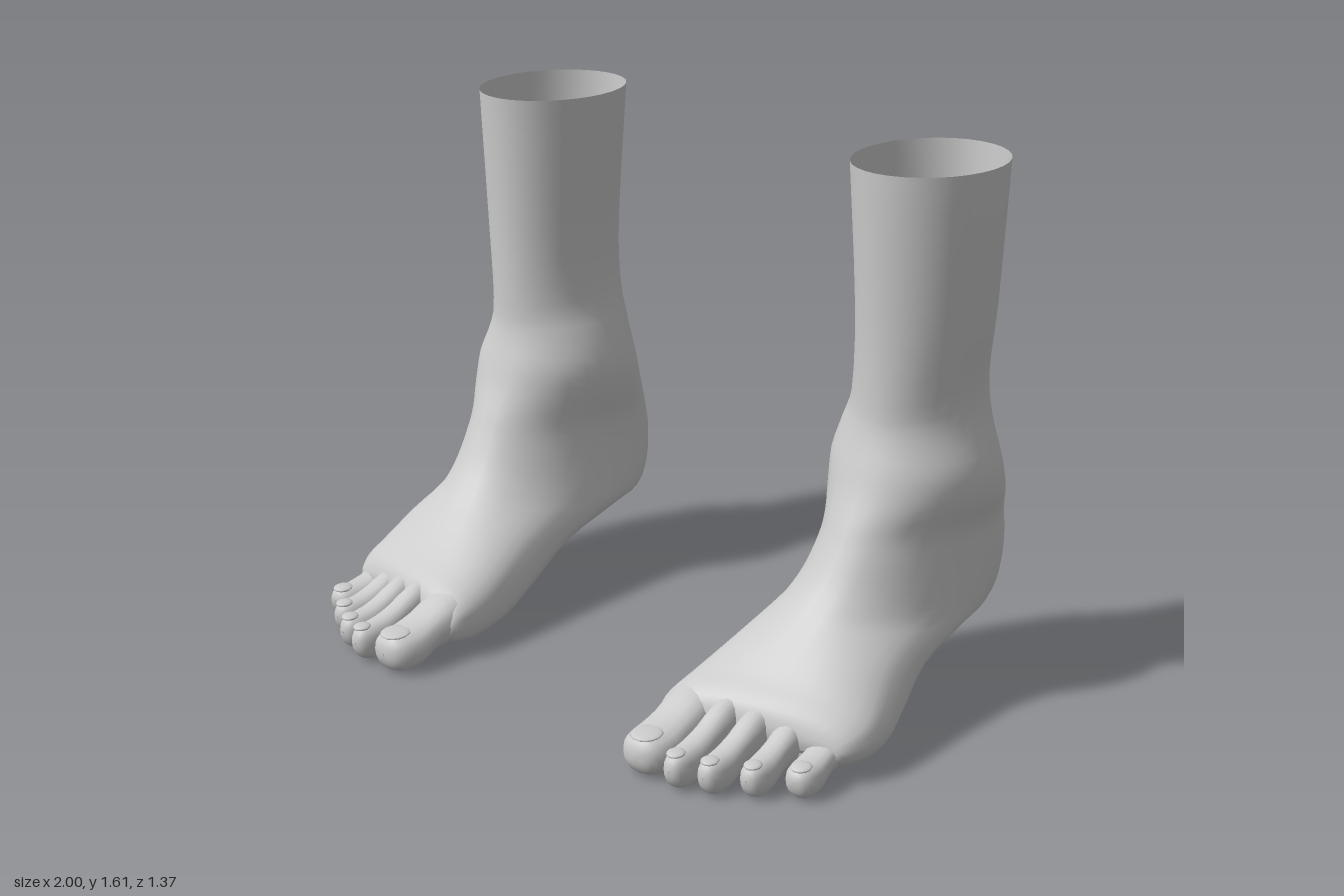
import * as THREE from 'three';

const skin = new THREE.MeshStandardMaterial({ color: 0xcccccc, side: THREE.DoubleSide });
const { smoothstep } = THREE.MathUtils;

// Cubic interpolation of every column of a list of rows.
function refine(rows, steps) {
  const out = [];
  const at = (i) => rows[Math.min(Math.max(i, 0), rows.length - 1)];
  for (let i = 0; i < rows.length - 1; i++) {
    for (let k = 0; k < steps; k++) {
      const t = k / steps;
      out.push(rows[i].map((b, c) => {
        const a = at(i - 1)[c], d = at(i + 1)[c], e = at(i + 2)[c];
        return b + 0.5 * t * (d - a + t * (2 * a - 5 * b + 4 * d - e + t * (3 * (b - d) + e - a)));
      }));
    }
  }
  out.push(rows[rows.length - 1]);
  return out;
}

// Skin over tilted cross-sections. Row: top z, top y, bottom z, bottom y, inner x, outer x.
// style(row) gives the ridge x, the squareness power and the backward skew per unit of x.
function loft(rows, sides, steps, side, style) {
  const pos = [], idx = [];
  const rings = refine(rows, steps);
  const bend = (v, p) => Math.sign(v) * Math.pow(Math.abs(v), p);
  for (const ring of rings) {
    const [zT, yT, zB, yB, xIn, xOut] = ring;
    const { ridge, power, skew } = style(ring);
    for (let j = 0; j < sides; j++) {
      const a = (j / sides) * Math.PI * 2;
      const s = bend(Math.cos(a), power), t = bend(Math.sin(a), power);
      const x = ridge + t * (t > 0 ? xOut - ridge : ridge - xIn);
      pos.push(side * x, (yT + yB) / 2 + s * (yT - yB) / 2,
        (zT + zB) / 2 + s * (zT - zB) / 2 - skew * (x - 0.66));
    }
  }
  for (let i = 0; i < rings.length - 1; i++) {
    for (let j = 0; j < sides; j++) {
      const a = i * sides + j, b = i * sides + (j + 1) % sides;
      const c = a + sides, d = b + sides;
      if (side > 0) idx.push(a, c, b, b, c, d);
      else idx.push(a, b, c, b, d, c);
    }
  }
  const geo = new THREE.BufferGeometry();
  geo.setAttribute('position', new THREE.Float32BufferAttribute(pos, 3));
  geo.setIndex(idx);
  geo.computeVertexNormals();
  return geo;
}

// Shin, ankle, heel, instep and ball of the foot
const footRows = [
  [-0.07, 1.62, -0.575, 1.62, 0.515, 0.935],
  [-0.09, 1.20, -0.555, 1.20, 0.545, 0.915],
  [-0.09, 0.95, -0.555, 0.99, 0.54, 0.89],
  [-0.08, 0.86, -0.565, 0.85, 0.505, 0.905],
  [-0.05, 0.77, -0.59, 0.72, 0.475, 0.945],
  [-0.02, 0.69, -0.63, 0.61, 0.482, 0.945],
  [0.02, 0.61, -0.67, 0.52, 0.502, 0.915],
  [0.05, 0.55, -0.687, 0.42, 0.50, 0.915],
  [0.10, 0.465, -0.665, 0.315, 0.485, 0.92],
  [0.15, 0.405, -0.60, 0.25, 0.47, 0.925],
  [0.19, 0.365, -0.45, 0.228, 0.46, 0.935],
  [0.25, 0.315, -0.20, 0.187, 0.445, 0.952],
  [0.31, 0.268, 0.0, 0.098, 0.42, 0.98],
  [0.35, 0.24, 0.14, 0.035, 0.405, 0.997],
  [0.39, 0.215, 0.27, 0.015, 0.40, 1.0],
  [0.42, 0.185, 0.37, 0.025, 0.41, 0.985],
  [0.435, 0.14, 0.42, 0.055, 0.435, 0.96],
  [0.43, 0.10, 0.43, 0.09, 0.46, 0.94],
];

// Round at the ankle; towards the toes squarer, ridged on the inside and swept back outside
function footStyle([zT]) {
  const forward = smoothstep(zT, 0, 0.42);
  return { ridge: 0.72 - 0.08 * forward, power: 1 - 0.22 * forward, skew: 0.26 * smoothstep(zT, 0.2, 0.43) };
}

// Toes: root x, tip x, root z, tip z, half width, root top y, tip top y
const toes = [
  [0.495, 0.505, 0.34, 0.68, 0.08, 0.215, 0.135],
  [0.615, 0.630, 0.34, 0.68, 0.046, 0.215, 0.125],
  [0.705, 0.722, 0.33, 0.645, 0.045, 0.20, 0.12],
  [0.795, 0.820, 0.29, 0.58, 0.045, 0.185, 0.115],
  [0.890, 0.920, 0.22, 0.50, 0.052, 0.16, 0.11],
];
// Along a toe: fraction, width factor, share of root height, bottom y
const toeShape = [
  [0, 0.95, 1, 0.07], [0.3, 1.0, 0.75, 0.05], [0.52, 0.93, 0.32, 0.045], [0.7, 1.0, 0.08, 0.018],
  [0.86, 0.94, 0, 0.012], [0.95, 0.7, -0.15, 0.025], [0.99, 0.38, -0.45, 0.05], [1, 0.03, -0.75, 0.069],
];

function toeRows([x0, x1, z0, z1, hw, y0, y1]) {
  return toeShape.map(([f, w, share, bottom]) => {
    const x = x0 + (x1 - x0) * f, z = z0 + (z1 - z0) * f;
    const top = share >= 0 ? y1 + (y0 - y1) * share : y1 + share * (y1 - 0.06);
    return [z, Math.max(top, bottom + 0.004), z, bottom, x - hw * w, x + hw * w];
  });
}

const toeStyle = (ring) => ({ ridge: (ring[4] + ring[5]) / 2, power: 0.88, skew: 0 });

function makeFoot(side) {
  const foot = new THREE.Group();
  foot.name = side > 0 ? 'leftFoot' : 'rightFoot';
  const add = (geo, name) => {
    const mesh = new THREE.Mesh(geo, skin);
    mesh.name = name;
    foot.add(mesh);
    return mesh;
  };
  add(loft(footRows, 32, 3, side, footStyle), 'ankleAndFoot');
  const names = ['bigToe', 'secondToe', 'thirdToe', 'fourthToe', 'littleToe'];
  toes.forEach((toe, i) => {
    add(loft(toeRows(toe), 16, 2, side, toeStyle), names[i]);
    // Thin toenail lying on the tip
    const [, x1, , z1, hw, , y1] = toe;
    const nail = add(new THREE.SphereGeometry(1, 14, 8), names[i] + 'Nail');
    nail.scale.set(hw * 0.58, 0.008, hw * 0.6);
    nail.position.set(side * x1, y1 - 0.004, z1 - hw * 0.65);
    nail.rotation.x = 0.08;
  });
  return foot;
}

export function createModel() {
  const model = new THREE.Group();
  model.name = 'pairOfFeet';
  model.add(makeFoot(1), makeFoot(-1));
  return model;
}
